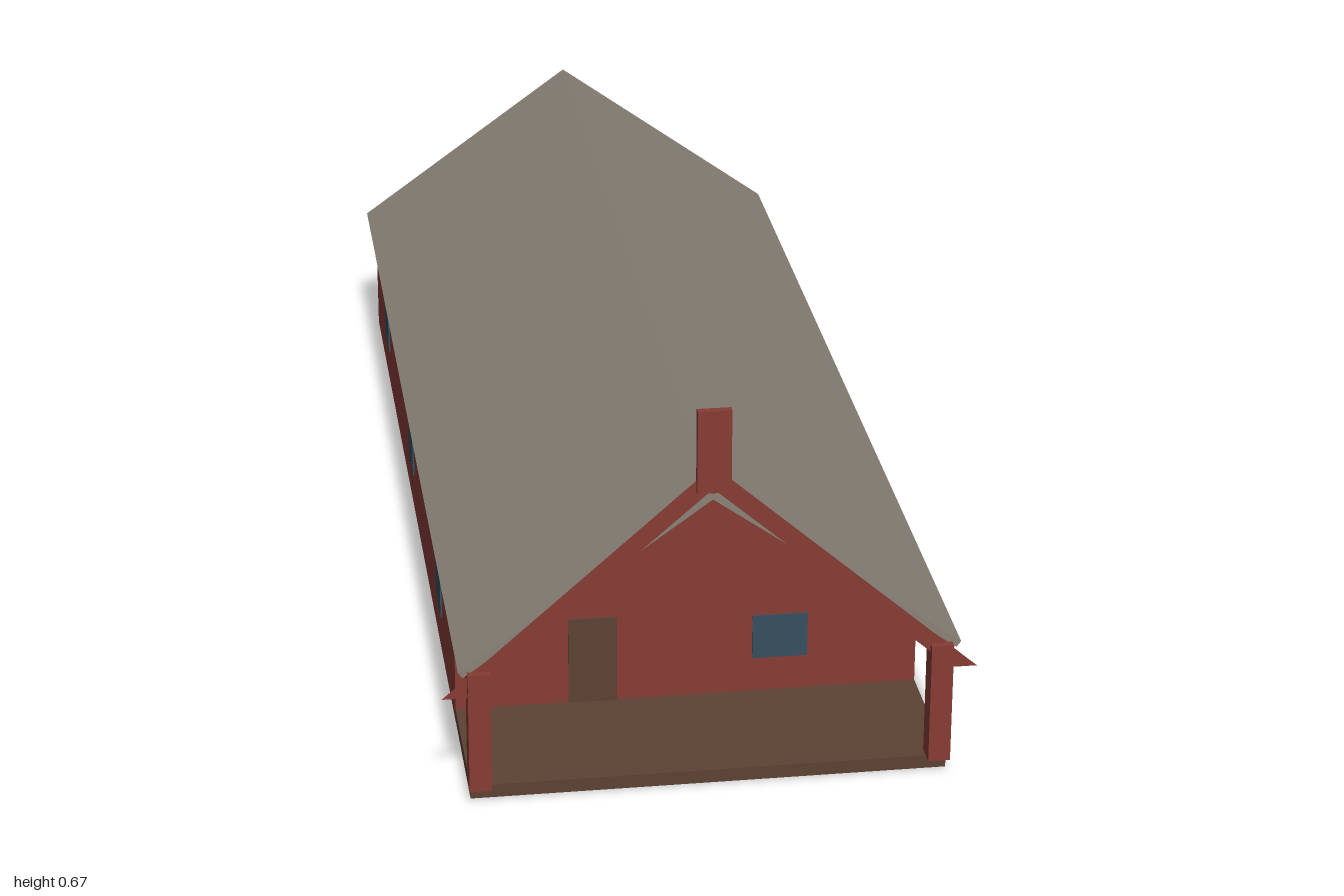
import * as THREE from 'three';

const paint = (name, color, side = THREE.FrontSide) => {
  const m = new THREE.MeshStandardMaterial({ color, side });
  m.name = name;
  return m;
};

const polygon = (pts) => new THREE.Shape(pts.map(([x, y]) => new THREE.Vector2(x, y)));

export function createModel() {
  const house = new THREE.Group();
  house.name = 'house';

  const red = paint('barnRed', 0x883c35, THREE.DoubleSide);
  const grey = paint('roofGrey', 0x8a8277);
  const brown = paint('woodBrown', 0x5c4233);
  const blue = paint('windowBlue', 0x364e5f);

  const add = (name, geometry, material, x = 0, y = 0, z = 0) => {
    const mesh = new THREE.Mesh(geometry, material);
    mesh.name = name;
    mesh.position.set(x, y, z);
    house.add(mesh);
    return mesh;
  };
  // Box given by its extents on each axis
  const box = (name, material, [x0, x1], [y0, y1], [z0, z1]) =>
    add(name, new THREE.BoxGeometry(x1 - x0, y1 - y0, z1 - z0), material,
      (x0 + x1) / 2, (y0 + y1) / 2, (z0 + z1) / 2);

  const half = 0.388, eave = 0.225, apex = 0.51;
  const front = 0.725, back = -0.985;
  const length = front - back, middle = (front + back) / 2;

  // Gabled end walls; the body is open underneath
  const gable = new THREE.ShapeGeometry(polygon([
    [-half, 0], [half, 0], [half, eave], [0, apex], [-half, eave]]));
  add('frontWall', gable, red, 0, 0, front);
  add('backWall', gable, red, 0, 0, back).rotation.y = Math.PI;

  // Ceiling closing the body at eave height
  add('ceiling', new THREE.PlaneGeometry(2 * half, length), red, 0, eave - 0.002, middle)
    .rotation.x = Math.PI / 2;

  // Long walls, windows and porch posts, mirrored
  for (const s of [-1, 1]) {
    const side = s > 0 ? 'left' : 'right';
    add(side + 'Wall', new THREE.PlaneGeometry(length, eave), red, s * half, eave / 2, middle)
      .rotation.y = s * Math.PI / 2;
    for (const z of [0.445, -0.125, -0.7]) {
      add(side + 'Window', new THREE.BoxGeometry(0.004, 0.095, 0.088), blue,
        s * (half + 0.001), 0.122, z);
    }
    add(side + 'Post', new THREE.BoxGeometry(0.036, 0.21, 0.04), red, s * 0.373, 0.13, 0.98);
  }

  // Door and window in the front wall
  box('door', brown, [-0.199, -0.118], [0.025, 0.18], [front - 0.001, front + 0.003]);
  box('frontWindow', blue, [0.11, 0.203], [0.087, 0.166], [front - 0.001, front + 0.003]);

  // Porch floor
  box('porchFloor', brown, [-half, half], [0.002, 0.025], [front, 0.98]);

  // Thin folded roof slab covering body and porch
  const roof = new THREE.ExtrudeGeometry(polygon([
    [-0.398, 0.225], [0, 0.513], [0.398, 0.225], [0.405, 0.235], [0, 0.527], [-0.405, 0.235]]),
  { depth: 1.987, bevelEnabled: false });
  add('roof', roof, grey, 0, 0, -1);

  // Flat gable boards and ridge post at the porch front
  add('gableBoards', new THREE.ShapeGeometry(polygon([
    [-0.432, 0.19], [-0.39, 0.19], [0, 0.532], [0.39, 0.19], [0.432, 0.19], [0, 0.572]])),
  red, 0, 0, 0.989);
  box('ridgePost', red, [-0.027, 0.027], [0.53, 0.67], [0.987, 1]);

  return house;
}
